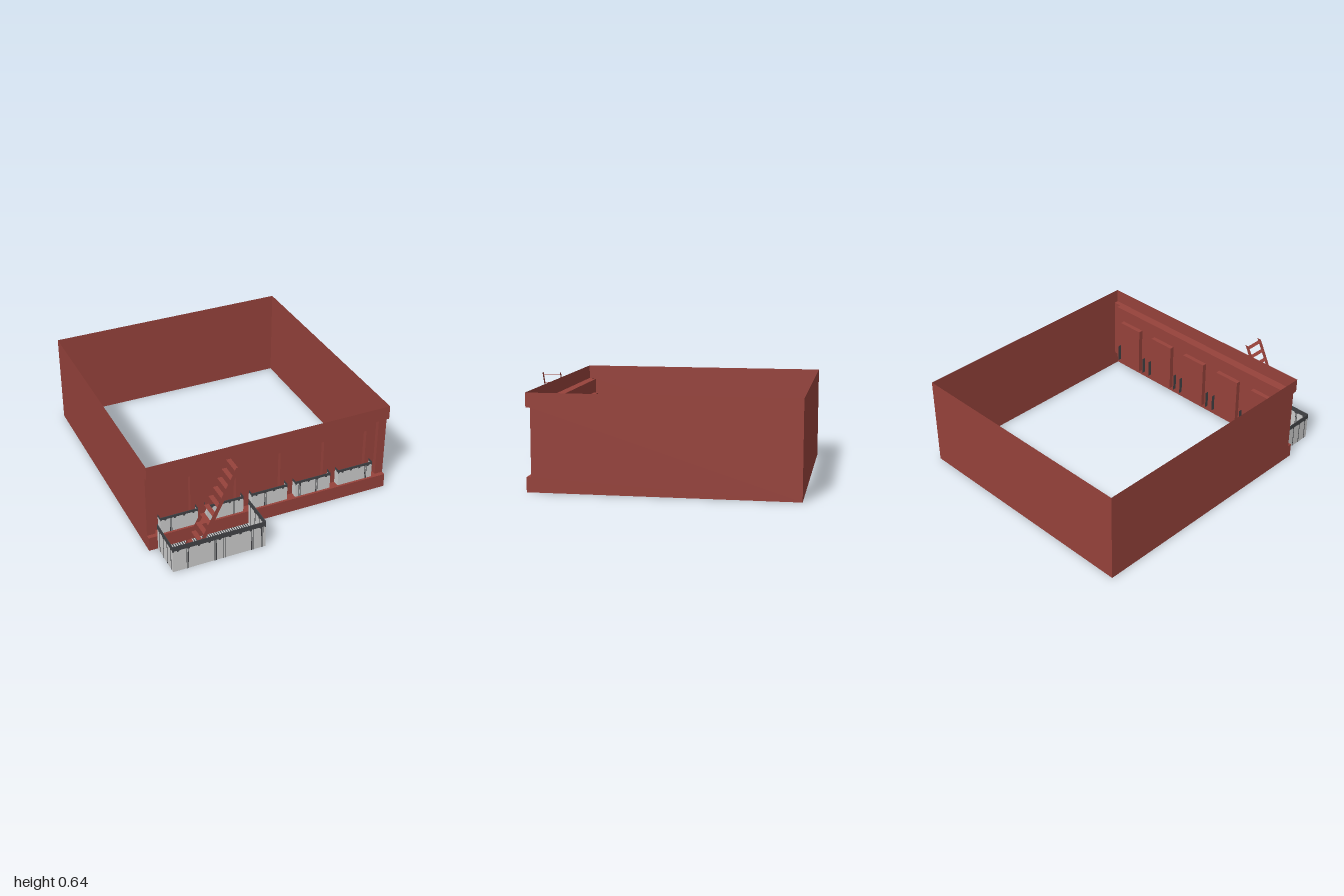
import * as THREE from 'three';

const paint = (name, color) => {
  const m = new THREE.MeshStandardMaterial({ color, side: THREE.DoubleSide });
  m.name = name;
  return m;
};

export function createModel() {
  const root = new THREE.Group();
  root.name = 'buildingStorey';
  const brick = paint('brickRed', 0x96423b);
  const pale = paint('paleGrey', 0xcccccc);
  const iron = paint('darkIron', 0x424347);

  const add = (parent, name, geo, mat) => {
    const m = new THREE.Mesh(geo, mat);
    m.name = name;
    parent.add(m);
    return m;
  };
  // Flat sheet square to an axis; a is x (or z for axis x), b is y (or z for axis y)
  const sheet = (parent, name, mat, axis, at, a0, a1, b0, b1) => {
    const g = new THREE.PlaneGeometry(a1 - a0, b1 - b0);
    const a = (a0 + a1) / 2, b = (b0 + b1) / 2;
    if (axis === 'y') g.rotateX(-Math.PI / 2).translate(a, at, b);
    else if (axis === 'x') g.rotateY(Math.PI / 2).translate(at, b, a);
    else g.translate(a, b, at);
    return add(parent, name, g, mat);
  };
  const outline = pts => new THREE.Shape(pts.map(p => new THREE.Vector2(...p)));
  const rectPath = (x0, x1, y0, y1) =>
    new THREE.Path([[x0, y0], [x0, y1], [x1, y1], [x1, y0]].map(p => new THREE.Vector2(...p)));

  // Main dimensions
  const W = 0.853, H = 0.638, ledgeY = 0.098, corniceY = 0.542, innerX = 0.795;
  const zFront = 0.743, zPier = 0.713, zPanel = 0.682, zWindow = 0.65;
  const winX = [0, 1, 2, 3, 4].map(i => -0.004 + (i - 2) * 0.3165);
  const winHalf = 0.096, winTop = 0.445;

  // Outer walls, notched at the front between plinth and cornice
  const walls = new THREE.Group();
  walls.name = 'walls';
  root.add(walls);
  sheet(walls, 'backWall', brick, 'z', -1, -W, W, 0, H);
  for (const s of [-1, 1]) {
    const profile = outline([[1, 0], [1, H], [-zFront, H], [-zFront, corniceY],
      [-zPier, corniceY], [-zPier, ledgeY], [-zFront, ledgeY], [-zFront, 0]]);
    add(walls, 'sideWall', new THREE.ShapeGeometry(profile).rotateY(Math.PI / 2).translate(s * W, 0, 0), brick);
  }

  // Facade: plinth, cornice, corner piers and recessed panel
  const facade = new THREE.Group();
  facade.name = 'facade';
  root.add(facade);
  sheet(facade, 'plinth', brick, 'z', zFront, -W, W, 0, ledgeY);
  sheet(facade, 'cornice', brick, 'z', zFront, -W, W, corniceY, H);
  for (const [name, y] of [['plinthLedge', ledgeY], ['corniceSoffit', corniceY]]) {
    sheet(facade, name, brick, 'y', y, -W, W, zPier, zFront);
    sheet(facade, name, brick, 'y', y, -innerX, innerX, zPanel, zPier);
  }
  for (const s of [-1, 1]) {
    sheet(facade, 'cornerPier', brick, 'z', zPier, Math.min(s * innerX, s * W), Math.max(s * innerX, s * W), ledgeY, corniceY);
    sheet(facade, 'pierReturn', brick, 'x', s * innerX, zPanel, zPier, ledgeY, corniceY);
  }
  const panel = outline([[-innerX, ledgeY], [innerX, ledgeY], [innerX, corniceY], [-innerX, corniceY]]);
  for (const x of winX) panel.holes.push(rectPath(x - winHalf, x + winHalf, ledgeY + 0.001, winTop));
  add(facade, 'panel', new THREE.ShapeGeometry(panel).translate(0, 0, zPanel), brick);

  // Window niches
  for (const x of winX) {
    const x0 = x - winHalf, x1 = x + winHalf;
    sheet(facade, 'windowBack', brick, 'z', zWindow, x0, x1, ledgeY, winTop);
    for (const y of [ledgeY, winTop]) sheet(facade, 'windowReveal', brick, 'y', y, x0, x1, zWindow, zPanel);
    for (const e of [x0, x1]) sheet(facade, 'windowReveal', brick, 'x', e, zWindow, zPanel, ledgeY, winTop);
  }

  // Parapet panel running along local x, with a dripping dark rail and thin post lines
  const T = 0.004;
  const parapet = (name, len, h, band, pitch, posts) => {
    const g = new THREE.Group();
    g.name = name;
    sheet(g, 'parapetFace', pale, 'z', 0, 0, len, 0, h - band / 2);
    const n = Math.max(1, Math.round(len / pitch)), p = len / n, y = h - band;
    const pts = [[0, h], [0, y - 0.01]];
    for (let i = 0; i < n; i++) {
      pts.push([(i + 0.15) * p, y], [(i + 0.36) * p, y], [(i + 0.42) * p, y - 0.009],
        [(i + 0.58) * p, y - 0.009], [(i + 0.64) * p, y], [(i + 0.85) * p, y]);
    }
    pts.push([len, y - 0.01], [len, h]);
    add(g, 'rail', new THREE.ExtrudeGeometry(outline(pts), { depth: T, bevelEnabled: false }).translate(0, 0, -T / 2), iron);
    for (const x of posts)
      add(g, 'postLine', new THREE.BoxGeometry(0.004, y, T).translate(x, y / 2, 0), iron);
    return g;
  };

  // Shallow balconies in front of each window
  const balHalf = 0.128, zBal = 0.729, zBalBack = 0.655;
  const pairs = [[0.07], [0.19], [0.097], [0.03, 0.155], [0.208]];
  winX.forEach((x, i) => {
    const bal = new THREE.Group();
    bal.name = 'windowBalcony';
    root.add(bal);
    const front = parapet('balconyFront', 2 * balHalf, 0.122, 0.018, 0.064, pairs[i].flatMap(v => [v - 0.005, v + 0.005]));
    front.position.set(x - balHalf, ledgeY + 0.001, zBal);
    bal.add(front);
    for (const s of [-1, 1]) {
      const e = x + s * balHalf;
      sheet(bal, 'balconySide', pale, 'x', e, zPanel, zBal, ledgeY, 0.2);
      sheet(bal, 'balconySideRail', iron, 'x', e, zPanel, zBal, 0.2, 0.221);
      sheet(bal, 'balconyEndPost', iron, 'x', e, zBalBack, zPanel, ledgeY, 0.221);
    }
  });

  // Large landing with slatted floor, hatch and parapets on three sides
  const landing = new THREE.Group();
  landing.name = 'landing';
  root.add(landing);
  const L0 = -0.793, L1 = -0.162, len = L1 - L0, zL = 0.998, hL = 0.194;
  const hatch = { x0: -0.695, x1: -0.295, z0: 0.803 };
  const slats = 80, sw = len / slats;
  for (let i = 0; i < slats; i++) {
    const x = L0 + i * sw, mid = x + sw / 2;
    const end = mid > hatch.x0 && mid < hatch.x1 ? hatch.z0 : zL;
    sheet(landing, 'floorSlat', i % 2 ? pale : iron, 'y', 0.002, x, x + sw, zFront, end);
  }
  const frame = outline([[hatch.x0, -zL], [hatch.x1, -zL], [hatch.x1, -hatch.z0], [hatch.x0, -hatch.z0]]);
  frame.holes.push(rectPath(-0.67, -0.32, -0.966, -0.834));
  add(landing, 'hatchFrame', new THREE.ShapeGeometry(frame).rotateX(-Math.PI / 2).translate(0, 0.004, 0), iron);

  const postX = [-0.695, -0.507, -0.447, -0.255, -0.187].flatMap(x => [x - 0.005 - L0, x + 0.005 - L0]);
  const front = parapet('landingFront', len, hL, 0.034, 0.07, postX);
  front.position.set(L0, 0, zL);
  landing.add(front);
  const depth = zL - zFront;
  for (const x of [L0, L1]) {
    const side = parapet('landingSide', depth, hL, 0.034, 0.063, [0.03, 0.092, 0.154, 0.216]);
    side.rotation.y = Math.PI / 2;
    side.position.set(x, 0, zL);
    landing.add(side);
  }

  // Steep ladder: two flat stringers and horizontal treads
  const ladder = new THREE.Group();
  ladder.name = 'ladder';
  root.add(ladder);
  const lx0 = -0.655, lx1 = -0.338, half = 0.016, zA = 0.835, zB = 0.965;
  const stringer = outline([[lx0 - half, 0.002], [lx0 + half, 0.002], [lx1 + half, H - 0.003], [lx1 - half, H - 0.003]]);
  for (const z of [zA, zB]) add(ladder, 'stringer', new THREE.ShapeGeometry(stringer).translate(0, 0, z), brick);
  for (let i = 0; i < 11; i++) {
    const t = (i + 0.3) / 10.6, x = lx0 + (lx1 - lx0) * t;
    sheet(ladder, 'tread', brick, 'y', 0.002 + t * (H - 0.005), x - half, x + half, zA, zB);
  }
  return root;
}
